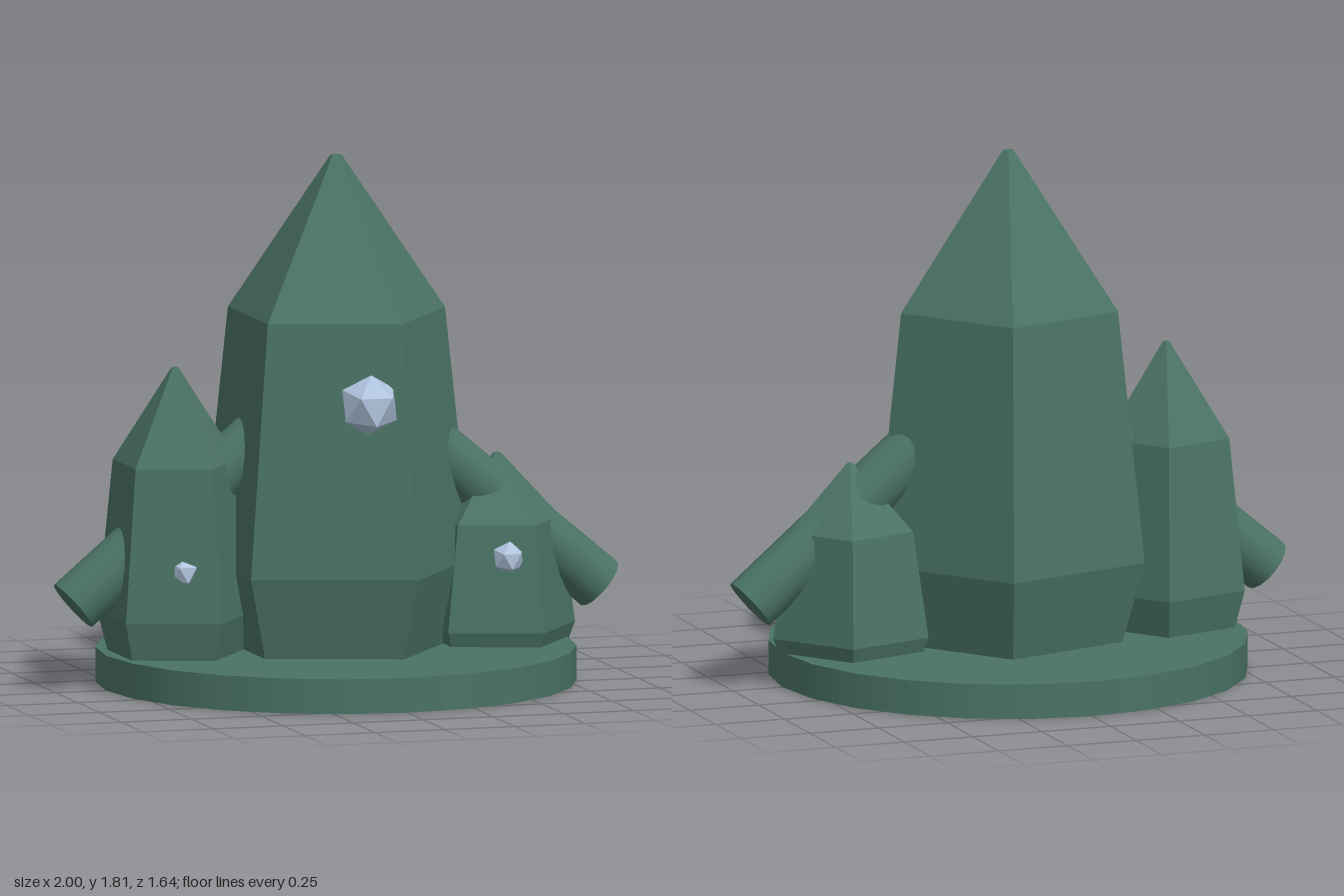
import * as THREE from 'three';

export function createModel() {
  const model = new THREE.Group();
  model.name = 'crystalCluster';

  const green = new THREE.MeshStandardMaterial({ color: 0x4a7364 });
  green.name = 'deepGreen';
  const blue = new THREE.MeshStandardMaterial({ color: 0xb0c4de });
  blue.name = 'paleBlue';

  function add(name, geometry, material, x, y, z) {
    const mesh = new THREE.Mesh(geometry, material);
    mesh.name = name;
    mesh.position.set(x, y, z);
    model.add(mesh);
    return mesh;
  }

  // Round plinth
  add('base', new THREE.CylinderGeometry(0.82, 0.82, 0.12, 24), green, 0, 0.06, 0);

  // Five-sided crystal with flat faces; the origin sits at its widest ring
  const profile = [[0, -0.35], [0.385, -0.35], [0.484, 0], [0.389, 0.87], [0.02, 1.41], [0, 1.41]];
  function crystal(name, x, y, width, height) {
    const points = profile.map(([r, h]) => new THREE.Vector2(r * width, h * height));
    const geometry = new THREE.LatheGeometry(points, 5, Math.PI / 2).toNonIndexed();
    geometry.computeVertexNormals();
    add(name, geometry, green, x, y, 0);
  }
  crystal('mainCrystal', 0, 0.4, 1, 1);
  crystal('leftCrystal', 0.575, 0.17, 0.575, 0.42);
  crystal('rightCrystal', -0.575, 0.25, 0.575, 0.605);

  // Sloping rods that pass through the small crystals into the main one
  for (const side of [1, -1]) {
    const rod = add(side > 0 ? 'leftRod' : 'rightRod',
      new THREE.CylinderGeometry(0.097, 0.097, 0.966, 16), green, side * 0.568, 0.607, 0);
    rod.rotation.z = side * THREE.MathUtils.degToRad(50);
  }

  // Faceted gems, each turned so one triangle faces forward
  function gem(name, radius, x, y, z) {
    const geometry = new THREE.IcosahedronGeometry(radius, 0);
    geometry.rotateX(THREE.MathUtils.degToRad(69.1));
    add(name, geometry, blue, x, y, z);
  }
  gem('mainGem', 0.107, 0, 1, 0.385);
  gem('leftGem', 0.058, 0.557, 0.425, 0.19);
  gem('rightGem', 0.058, -0.597, 0.425, 0.178);

  return model;
}
